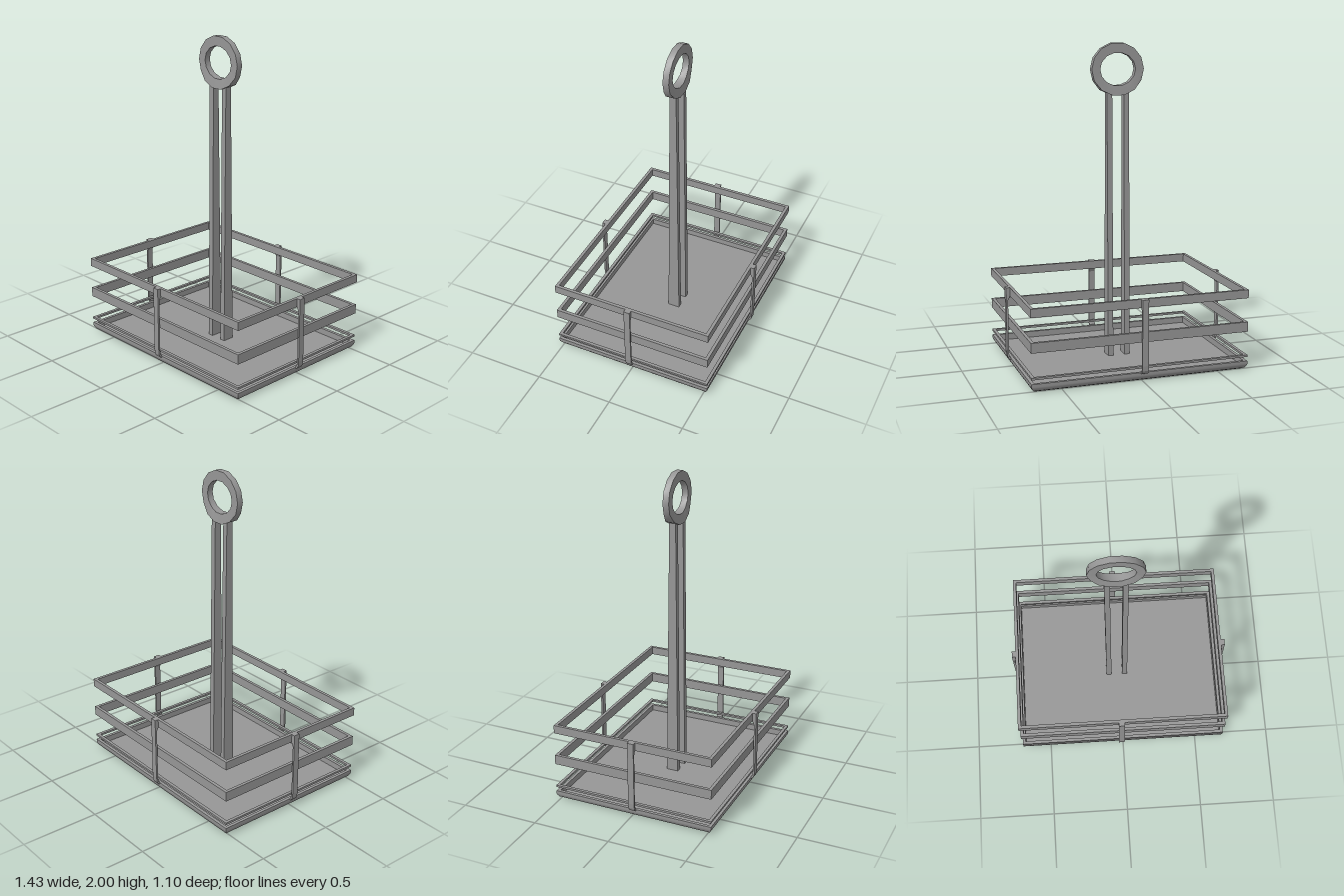
import * as THREE from 'three';
import { toCreasedNormals } from 'three/addons/utils/BufferGeometryUtils.js';

const material = new THREE.MeshStandardMaterial({ color: 0x969696, side: THREE.DoubleSide });
const HX = 0.69, HZ = 0.525, WALL = 0.02, CREASE = 0.6;

function addMesh(parent, name, geometry) {
  const mesh = new THREE.Mesh(geometry, material);
  mesh.name = name;
  parent.add(mesh);
  return mesh;
}

function extrude(shape, depth) {
  return new THREE.ExtrudeGeometry(shape, { depth, bevelEnabled: false });
}

function rectPoints(hx, hz) {
  return [[-hx, -hz], [hx, -hz], [hx, hz], [-hx, hz]].map(([x, y]) => new THREE.Vector2(x, y));
}

// Rectangular band lying flat, from y0 up to y1
function frameGeometry(y0, y1) {
  const shape = new THREE.Shape(rectPoints(HX, HZ));
  shape.holes.push(new THREE.Path(rectPoints(HX - WALL, HZ - WALL)));
  return extrude(shape, y1 - y0).rotateX(-Math.PI / 2).translate(0, y0, 0);
}

// Shallow tray: rectangular sections [inset, y] from the underside, over the rim, to the floor
function trayGeometry() {
  const sections = [[0.03, 0], [0.012, 0.01], [0.003, 0.025], [0, 0.035], [0, 0.054], [WALL, 0.054], [WALL, 0.015]];
  const positions = [], index = [];
  for (const [inset, y] of sections) {
    const x = HX - inset, z = HZ - inset;
    positions.push(-x, y, z, x, y, z, x, y, -z, -x, y, -z);
  }
  for (let s = 0; s < sections.length - 1; s++) {
    for (let i = 0; i < 4; i++) {
      const a = s * 4 + i, b = s * 4 + (i + 1) % 4;
      index.push(a, b, b + 4, a, b + 4, a + 4);
    }
  }
  const f = (sections.length - 1) * 4;
  index.push(0, 2, 1, 0, 3, 2, f, f + 1, f + 2, f, f + 2, f + 3);
  const geometry = new THREE.BufferGeometry();
  geometry.setAttribute('position', new THREE.Float32BufferAttribute(positions, 3));
  geometry.setIndex(index);
  return toCreasedNormals(geometry, CREASE);
}

// Upright strap: side profile measured outward from the rail face, extruded to its width
function strapGeometry() {
  const profile = [[0, 0.045], [0.012, 0.05], [0.021, 0.068], [0.024, 0.1], [0.024, 0.51],
    [0, 0.51], [0, 0.455], [0.012, 0.43], [0.012, 0.085], [0.008, 0.068], [0, 0.058]];
  const shape = new THREE.Shape(profile.map(([x, y]) => new THREE.Vector2(x, y)));
  return extrude(shape, 0.04).translate(0, 0, -0.02);
}

// Handle post, tapering in depth towards the top
function postGeometry() {
  const y0 = 0.015, y1 = 1.71;
  const geometry = new THREE.BoxGeometry(0.034, y1 - y0, 1).translate(0, (y0 + y1) / 2, 0);
  const p = geometry.attributes.position;
  for (let i = 0; i < p.count; i++) {
    const top = p.getY(i) > 1;
    p.setZ(i, p.getZ(i) > 0 ? (top ? 0.021 : 0.035) : (top ? -0.021 : -0.042));
  }
  geometry.computeVertexNormals();
  return geometry;
}

// Grip ring, thickened where it meets the posts
function ringGeometry() {
  const oval = (n, rx, ry) => Array.from({ length: n }, (_, i) => {
    const a = (i + 0.5) / n * Math.PI * 2 + Math.PI / 2;
    return new THREE.Vector2(Math.cos(a) * rx, Math.sin(a) * ry);
  });
  const shape = new THREE.Shape(oval(14, 0.169, 0.164));
  shape.holes.push(new THREE.Path(oval(14, 0.115, 0.102)));
  const geometry = extrude(shape, 0.04).translate(0, 0, -0.02);
  const p = geometry.attributes.position;
  for (let i = 0; i < p.count; i++) {
    const flare = THREE.MathUtils.clamp((-0.07 - p.getY(i)) / 0.08, 0, 1);
    p.setZ(i, p.getZ(i) * (1 + 0.7 * flare));
  }
  return toCreasedNormals(geometry, CREASE);
}

export function createModel() {
  const model = new THREE.Group();
  model.name = 'condimentCaddy';

  addMesh(model, 'tray', trayGeometry());

  // Wire edge above the tray and two rails
  addMesh(model, 'trayEdge', frameGeometry(0.08, 0.093));
  addMesh(model, 'middleRail', frameGeometry(0.243, 0.305));
  addMesh(model, 'topRail', frameGeometry(0.457, 0.51));

  // One strap in the middle of each side
  const straps = [
    ['leftStrap', HX, 0.01, 0], ['rightStrap', -HX, 0.01, Math.PI],
    ['frontStrap', -0.01, HZ, -Math.PI / 2], ['backStrap', -0.01, -HZ, Math.PI / 2],
  ];
  const strap = strapGeometry();
  for (const [name, x, z, turn] of straps) {
    const mesh = addMesh(model, name, strap);
    mesh.position.set(x, 0, z);
    mesh.rotation.y = turn;
  }

  // Twin-post handle with ring
  const handle = new THREE.Group();
  handle.name = 'handle';
  handle.position.x = -0.012;
  model.add(handle);
  const post = postGeometry();
  for (const side of [-1, 1]) {
    addMesh(handle, side > 0 ? 'leftPost' : 'rightPost', post).position.x = side * 0.055;
  }
  addMesh(handle, 'gripRing', ringGeometry()).position.y = 1.84;

  return model;
}
